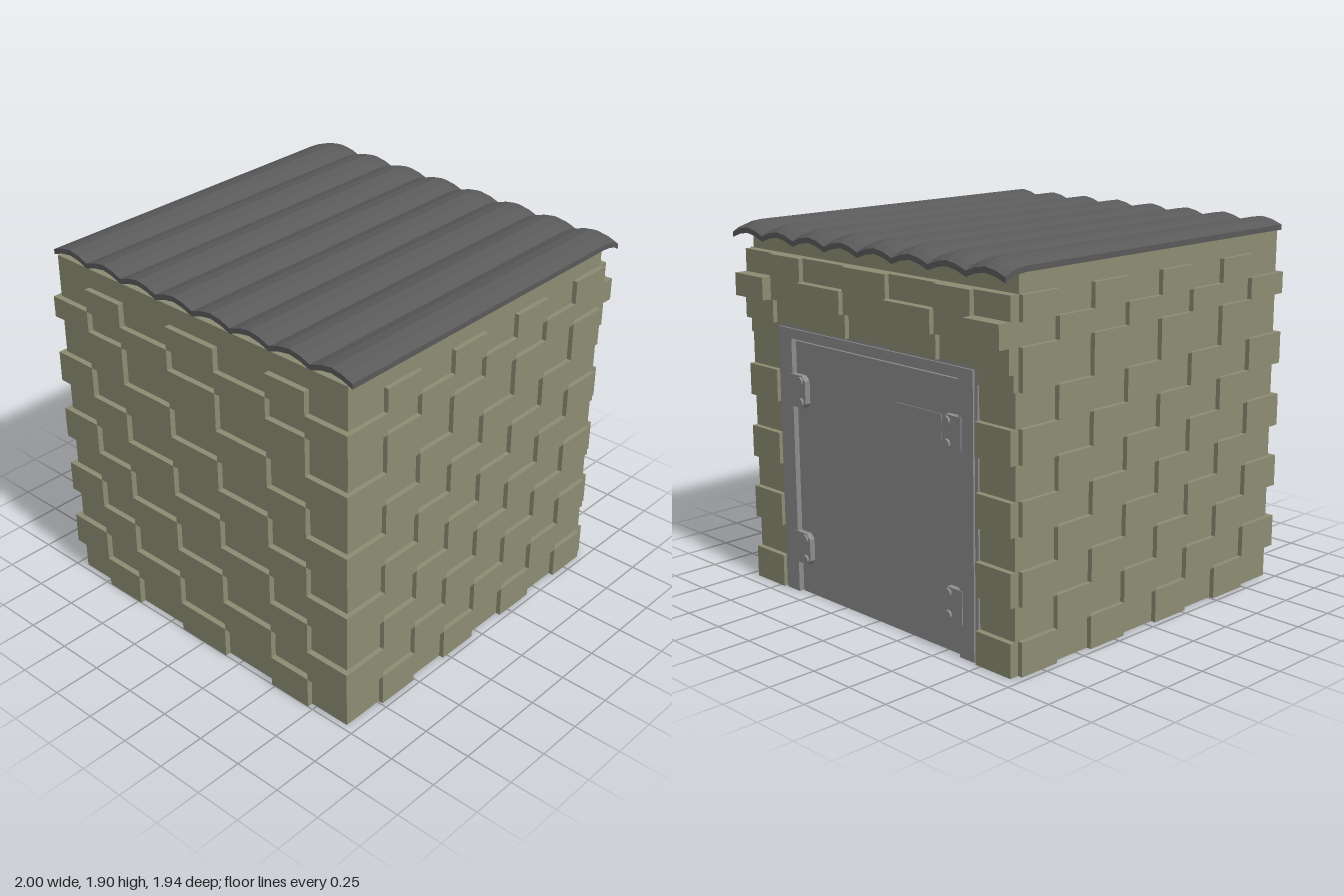
import * as THREE from 'three';

const mat = (color) => new THREE.MeshStandardMaterial({ color, flatShading: true });

export function createModel() {
  const model = new THREE.Group();
  const brick = mat(0x8c8c74), steel = mat(0x8c8c8c), roofing = mat(0x5a5a5a);

  const group = (name) => {
    const g = new THREE.Group();
    g.name = name;
    model.add(g);
    return g;
  };
  // Box given by its limits on each axis
  const box = (parent, name, material, x0, x1, y0, y1, z0, z1) => {
    const m = new THREE.Mesh(new THREE.BoxGeometry(x1 - x0, y1 - y0, z1 - z0), material);
    m.position.set((x0 + x1) / 2, (y0 + y1) / 2, (z0 + z1) / 2);
    m.name = name;
    parent.add(m);
    return m;
  };

  // Wall core
  box(model, 'wallCore', brick, -0.97, 0.88, 0, 1.85, -0.945, 0.945);

  const rows = [0, 0.167, 0.333, 0.5, 0.663, 0.827, 0.993, 1.157, 1.32, 1.52, 1.63, 1.75];
  const colsX = [-1, -0.74, -0.51, -0.28, -0.05, 0.185, 0.42, 0.65, 0.88];
  const colsZ = [-0.945, -0.72, -0.48, -0.157, 0.157, 0.48, 0.72, 0.945];

  // Chequered raised blocks on the two long walls and the rear wall
  const sideBlocks = group('sideWallBlocks');
  const rearBlocks = group('rearWallBlocks');
  for (let r = 0; r < rows.length - 1; r++) {
    for (let c = 0; c < 8; c++) {
      if ((r + c) % 2 === 0) continue;
      for (const s of [-1, 1]) {
        const z = [s * 0.93, s * 0.97].sort((a, b) => a - b);
        box(sideBlocks, 'block', brick, colsX[c], colsX[c + 1], rows[r], rows[r + 1], z[0], z[1]);
      }
    }
    for (let c = 0; c < 7; c++) {
      if ((r + c) % 2 === 0) continue;
      box(rearBlocks, 'block', brick, -1, -0.95, rows[r], rows[r + 1], colsZ[c], colsZ[c + 1]);
    }
  }

  // Blocks beside the door
  const doorBlocks = group('doorWallBlocks');
  for (let r = 0; r < 9; r++) {
    const x = r === 8 ? 0.91 : r % 2 ? 0.9 : 0.93;
    const top = r === 8 ? 1.4 : rows[r + 1];
    box(doorBlocks, 'block', brick, 0.85, x, rows[r], top, 0.72, 0.945);
    box(doorBlocks, 'block', brick, 0.85, x, rows[r], top, -0.945, -0.72);
  }
  // Three courses above the door, uneven in depth
  const courses = [[1.4, 1.52, 0.94, 0.915], [1.52, 1.635, 1, 0.95], [1.635, 1.75, 0.93, 0.955]];
  courses.forEach(([y0, y1, even, odd], r) => {
    for (let c = 0; c < 7; c++) {
      const corner = c === 0 || c === 6;
      const x = c % 2 ? odd : corner ? even : Math.min(even, 0.975);
      box(doorBlocks, 'lintelBlock', brick, 0.85, x, y0, y1, colsZ[c], colsZ[c + 1]);
    }
  });

  // Door frame: nested U-shaped surrounds
  const door = group('door');
  const surround = (name, outer, top, inner, innerTop, x) => {
    const s = new THREE.Shape([
      [-outer, 0], [-inner, 0], [-inner, innerTop], [inner, innerTop],
      [inner, 0], [outer, 0], [outer, top], [-outer, top],
    ].map((p) => new THREE.Vector2(...p)));
    const g = new THREE.ExtrudeGeometry(s, { depth: x - 0.86, bevelEnabled: false });
    g.rotateY(Math.PI / 2).translate(0.86, 0, 0);
    const m = new THREE.Mesh(g, steel);
    m.name = name;
    door.add(m);
  };
  surround('frameTrim', 0.72, 1.4, 0.7, 1.385, 0.91);
  surround('frame', 0.7, 1.385, 0.605, 1.335, 0.92);
  box(door, 'doorPanel', steel, 0.86, 0.895, 0, 1.32, -0.6, 0.6);
  box(door, 'namePlate', steel, 0.89, 0.9, 1.01, 1.14, -0.47, -0.155);

  // Hinges: chamfered plate with two bolts
  for (const s of [-1, 1]) {
    for (const y of [0.165, 0.99]) {
      const hinge = new THREE.Group();
      hinge.name = 'hinge';
      door.add(hinge);
      const a = 0.5 * s, b = 0.625 * s, k = 0.025 * s;
      const shape = new THREE.Shape([
        [-b, y], [-a - k, y], [-a, y + 0.025], [-a, y + 0.14], [-a - k, y + 0.165], [-b, y + 0.165],
      ].map((p) => new THREE.Vector2(...p)));
      const g = new THREE.ExtrudeGeometry(shape, { depth: 0.035, bevelEnabled: false });
      g.rotateY(Math.PI / 2).translate(0.89, 0, 0);
      const plate = new THREE.Mesh(g, steel);
      plate.name = 'hingePlate';
      hinge.add(plate);
      for (const dy of [0.03, 0.138]) {
        const bolt = new THREE.Mesh(new THREE.CylinderGeometry(0.022, 0.022, 0.02, 12), steel);
        bolt.rotation.z = -Math.PI / 2;
        bolt.position.set(0.927, y + dy, 0.535 * s);
        bolt.name = 'hingeBolt';
        hinge.add(bolt);
      }
    }
  }

  // Corrugated roof: wavy section swept along x, bent down at the door end
  const pitch = 1.94 / 8, top = [], under = [];
  for (let i = 0; i <= 32; i++) {
    const z = -0.97 + (i * pitch) / 4;
    const y = 1.873 + [0, 0.022, 0.032, 0.022][i % 4];
    top.push(new THREE.Vector2(z, y));
    under.unshift(new THREE.Vector2(z, y - 0.027));
  }
  const roofGeo = new THREE.ExtrudeGeometry(new THREE.Shape([...top, ...under]), {
    depth: 4, steps: 4, bevelEnabled: false,
  });
  roofGeo.rotateY(Math.PI / 2);
  const stations = [-0.97, 0.86, 0.91, 0.95, 0.985], drop = [0, 0, 0.005, 0.016, 0.035];
  const p = roofGeo.attributes.position;
  for (let i = 0; i < p.count; i++) {
    const k = Math.round(p.getX(i));
    p.setX(i, stations[k]);
    p.setY(i, p.getY(i) - drop[k]);
  }
  roofGeo.computeVertexNormals();
  const roof = new THREE.Mesh(roofGeo, roofing);
  roof.name = 'corrugatedRoof';
  model.add(roof);

  return model;
}
